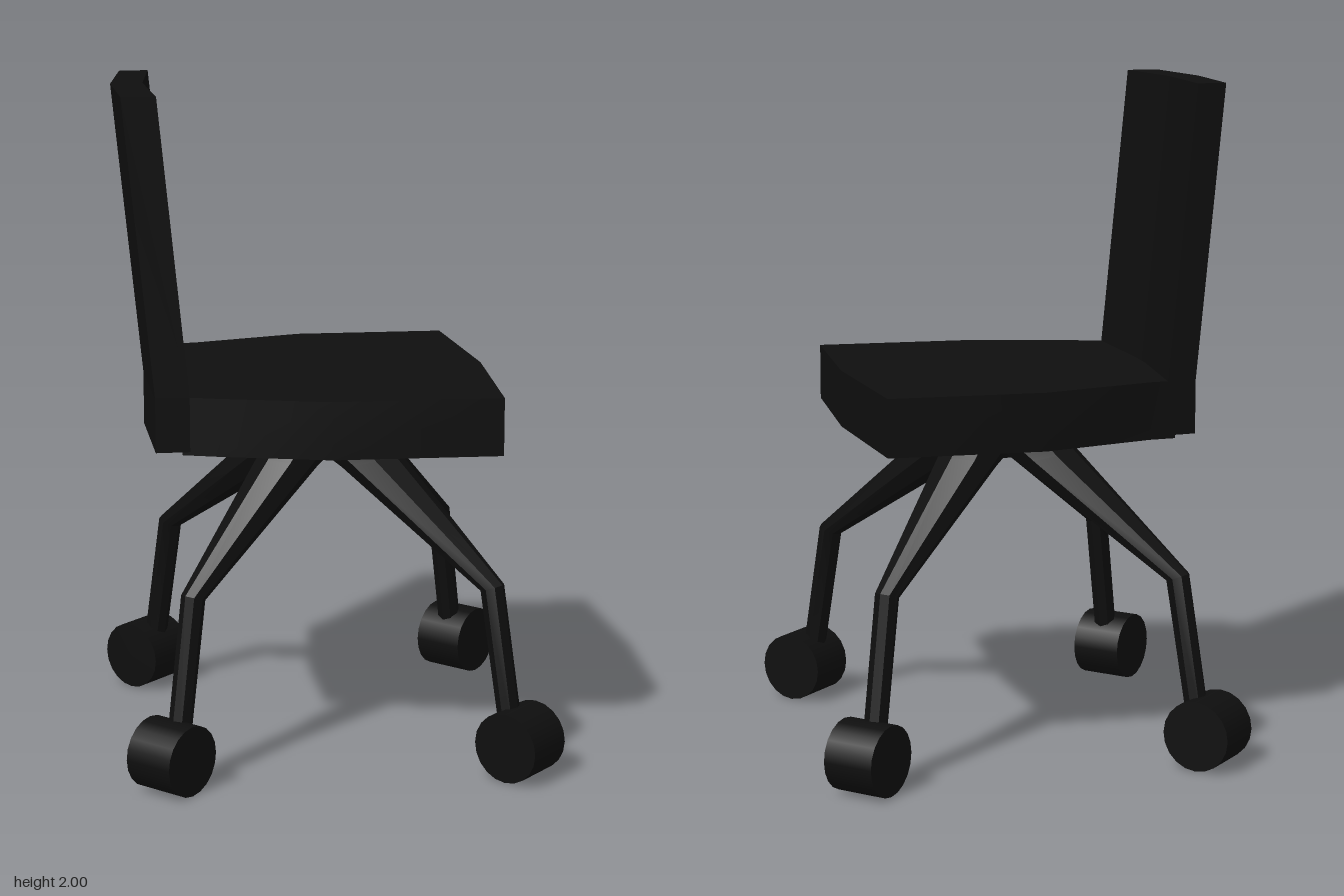
import * as THREE from 'three';
import { toCreasedNormals } from 'three/addons/utils/BufferGeometryUtils.js';

// Skin a list of rings (each the same number of Vector3) and cap both ends.
function loft(rings, crease) {
  const n = rings[0].length;
  const index = [];
  for (let r = 0; r < rings.length - 1; r++) {
    for (let i = 0; i < n; i++) {
      const a = r * n + i, b = r * n + (i + 1) % n;
      index.push(a, b, b + n, a, b + n, a + n);
    }
  }
  const end = (rings.length - 1) * n;
  for (let i = 1; i < n - 1; i++) {
    index.push(0, i + 1, i, end, end + i, end + i + 1);
  }
  // Turn the faces outward if the enclosed volume is negative.
  const pts = rings.flat();
  let volume = 0;
  for (let i = 0; i < index.length; i += 3) {
    const [a, b, c] = [pts[index[i]], pts[index[i + 1]], pts[index[i + 2]]];
    volume += a.dot(b.clone().cross(c));
  }
  if (volume < 0) index.reverse();
  const geometry = new THREE.BufferGeometry().setFromPoints(pts);
  geometry.setIndex(index);
  return toCreasedNormals(geometry, crease);
}

const plan = (points, y, dx = 0, dz = 0) =>
  points.map(([x, z]) => new THREE.Vector3(x + dx, y, z + dz));

export function createModel() {
  const model = new THREE.Group();
  const black = new THREE.MeshStandardMaterial({ color: 0x0e0e0e });
  black.name = 'black';

  function add(parent, name, geometry) {
    const mesh = new THREE.Mesh(geometry, black);
    mesh.name = name;
    parent.add(mesh);
    return mesh;
  }

  // Seat: thick cushion turned diagonally on its base
  const seatPlan = [
    [-0.6, -0.06], [-0.55, 0.04], [-0.39, 0.32], [-0.05, 0.68], [0.33, 0.34],
    [0.67, -0.05], [0.35, -0.38], [0.04, -0.55], [-0.02, -0.6],
  ];
  add(model, 'seat', loft([plan(seatPlan, 0.97), plan(seatPlan, 1.14)], 0.4));

  // Backrest: slightly bent panel, upright beside the seat, then leaning back
  const backPlan = [
    [-0.39, -0.39], [-0.07, -0.64], [0, -0.585],
    [-0.31, -0.335], [-0.59, -0.04], [-0.66, -0.11],
  ];
  add(model, 'backrest', loft([
    plan(backPlan, 0.98),
    plan(backPlan, 1.14),
    plan(backPlan, 2, -0.07, -0.05),
  ], 0.05));

  // Hub under the seat
  const hub = add(model, 'hub', new THREE.CylinderGeometry(0.14, 0.09, 0.11, 16));
  hub.position.set(-0.01, 0.925, -0.01);

  // Leg stations: lower point, upper point (reach, height), half width
  const stations = [
    [0, 0.89, 0.21, 0.975, 0.1],
    [0.09, 0.85, 0.27, 0.9, 0.09],
    [0.585, 0.545, 0.655, 0.57, 0.035],
    [0.655, 0.15, 0.725, 0.15, 0.035],
  ];
  const sides = 8;
  const legRings = stations.map(([x0, y0, x1, y1, half]) =>
    Array.from({ length: sides }, (_, i) => {
      const a = (i / sides) * Math.PI * 2;
      const t = (1 - Math.cos(a)) / 2;
      return new THREE.Vector3(
        x0 + (x1 - x0) * t, y0 + (y1 - y0) * t, Math.sin(a) * half);
    }));
  const legGeometry = loft(legRings, 0.6);
  const wheelGeometry = new THREE.CylinderGeometry(0.105, 0.105, 0.16, 20);
  wheelGeometry.rotateX(Math.PI / 2);

  // Four legs with wheels
  for (let i = 0; i < 4; i++) {
    const leg = new THREE.Group();
    leg.name = 'legWithWheel' + (i + 1);
    add(leg, 'leg', legGeometry);
    add(leg, 'wheel', wheelGeometry).position.set(0.725, 0.105, 0);
    leg.rotation.y = (i * Math.PI) / 2;
    leg.position.set(i % 2 ? -0.01 : 0, 0, i % 2 ? 0 : -0.01);
    model.add(leg);
  }
  return model;
}
